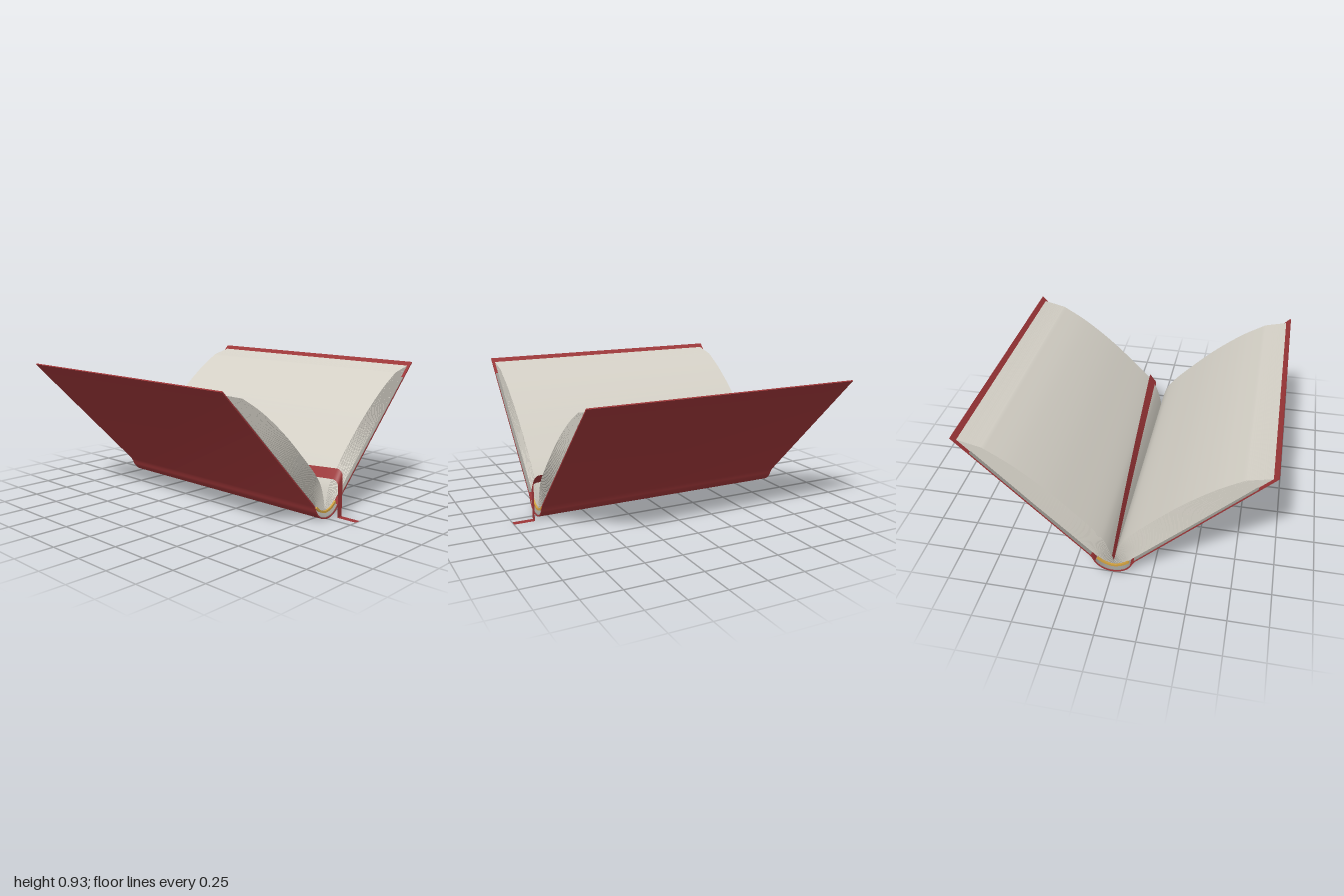
import * as THREE from 'three';
import { toCreasedNormals } from 'three/addons/utils/BufferGeometryUtils.js';

const mat = (name, color) => {
  const m = new THREE.MeshStandardMaterial({ color, side: THREE.DoubleSide });
  m.name = name;
  return m;
};
const V = (x, y) => new THREE.Vector2(x, y);
const mirror = (pts, s) => pts.map((p) => V(p.x * s, p.y));

// Prism along z from a closed cross-section
function prism(name, outline, z0, z1, material, crease = 0.6) {
  let g = new THREE.ExtrudeGeometry(new THREE.Shape(outline), { depth: z1 - z0, bevelEnabled: false });
  g.translate(0, 0, z0);
  g = toCreasedNormals(g, crease);
  const mesh = new THREE.Mesh(g, material);
  mesh.name = name;
  return mesh;
}

// Outline of a polyline thickened to its left side
function thicken(pts, t) {
  const inner = pts.map((p, i) => {
    const a = pts[Math.max(0, i - 1)], b = pts[Math.min(pts.length - 1, i + 1)];
    const d = b.clone().sub(a).normalize();
    return V(p.x - d.y * t, p.y + d.x * t);
  });
  return [...pts, ...inner.reverse()];
}

const spline = (pts, n) => new THREE.SplineCurve(pts).getPoints(n);

// Profiles of the uppermost and lowest leaf, gutter to fore edge
const TOP = [[0, 0.06], [0.018, 0.14], [0.045, 0.22], [0.09, 0.29], [0.2, 0.41], [0.4, 0.605], [0.6, 0.765], [0.77, 0.87]];
const LOW = [[0.1, 0.095], [0.13, 0.123], [0.18, 0.171], [0.24, 0.23], [0.36, 0.349], [0.55, 0.538], [0.74, 0.727], [0.92, 0.906]];

function leafCurve(t) {
  return spline(TOP.map((p, i) => V(
    THREE.MathUtils.lerp(p[0], LOW[i][0], t),
    THREE.MathUtils.lerp(p[1], LOW[i][1], t) - (i === 0 ? 0.05 * t * (1 - t) : 0),
  )), 40);
}

// Height of the top leaf at x
const topPts = leafCurve(0);
function pageHeight(x) {
  for (let i = 1; i < topPts.length; i++) {
    const a = topPts[i - 1], b = topPts[i];
    if (x <= b.x) return THREE.MathUtils.lerp(a.y, b.y, Math.max(0, (x - a.x) / (b.x - a.x)));
  }
  return topPts[topPts.length - 1].y;
}

export function createModel() {
  const red = mat('red cloth', 0x9c3537);
  const paper = mat('paper', 0xd4d0c6);
  const lining = mat('grey lining', 0x98968f);
  const gold = mat('gold thread', 0xd0a040);
  const book = new THREE.Group();
  book.name = 'openBook';

  // Cover: two boards joined by a rounded spine
  const arc = [];
  for (let i = -12; i <= 12; i++) {
    const a = (i / 12) * 1.25;
    arc.push(V(0.125 * Math.sin(a) / Math.sin(1.25), 0.002 + 0.083 * (1 - Math.cos(a)) / (1 - Math.cos(1.25))));
  }
  const coverLine = [V(-0.95, 0.926), V(-0.14, 0.112), ...arc, V(0.14, 0.112), V(0.95, 0.926)];
  book.add(prism('cover', thicken(coverLine, 0.008), -1, 0.82, red));

  // Lining inside the spine
  book.add(prism('spineLining', thicken(arc.slice(2, -2).map((p) => V(p.x, p.y + 0.009)), 0.004), -0.995, 0.815, lining));

  const N = 26;
  for (const s of [1, -1]) {
    const side = new THREE.Group();
    side.name = s > 0 ? 'leftHalf' : 'rightHalf';

    // Endpaper on the board
    const board = [V(0.14, 0.121), V(0.845, 0.83)];
    side.add(prism('endpaper', mirror(thicken(board, 0.006), s), -0.998, 0.818, lining));

    // Leaves, packed at the fore edge and fanned towards the gutter
    for (let i = 0; i < N; i++) {
      const upper = leafCurve(i / N), next = leafCurve((i + 1) / N);
      const lower = upper.map((p, k) => {
        const u = k / 40;
        return p.clone().lerp(next[k], 0.3 + 0.68 * THREE.MathUtils.smoothstep(u, 0.45, 0.85));
      });
      side.add(prism('leaf', mirror([...upper, ...lower.reverse()], s), -0.98, 0.8, paper));
    }
    book.add(side);
  }

  // Headbands at both ends of the spine
  const band = spline([V(-0.105, 0.088), V(-0.06, 0.056), V(0, 0.04), V(0.06, 0.056), V(0.105, 0.088)], 16);
  for (const z of [-0.992, 0.8]) book.add(prism('headband', thicken(band, 0.014), z, z + 0.012, gold));

  // Ribbon: along the gutter, over the page ends, down and forward
  const rows = [];
  for (let i = 0; i <= 24; i++) {
    const t = i / 24, xl = 0.055 * t, xr = 0.008 + 0.092 * t;
    rows.push([xl - 0.004 * (1 - t), pageHeight(xl) + 0.012, xr, pageHeight(xr) + 0.012, -0.97 + 1.785 * t]);
  }
  for (let i = 1; i <= 5; i++) {
    const a = (i / 5) * Math.PI / 2, drop = 0.045 * (1 - Math.cos(a));
    rows.push([0.055, pageHeight(0.055) + 0.012 - drop, 0.1, pageHeight(0.1) + 0.012 - drop, 0.815 + 0.045 * Math.sin(a)]);
  }
  rows.push([0.055, 0.004, 0.1, 0.004, 0.86], [0.055, 0.004, 0.1, 0.004, 1]);
  const pos = [], index = [];
  rows.forEach(([xl, yl, xr, yr, z], i) => {
    pos.push(xl, yl, z, xr, yr, z);
    if (i) {
      const a = 2 * i - 2;
      index.push(a, a + 2, a + 1, a + 1, a + 2, a + 3);
    }
  });
  const g = new THREE.BufferGeometry();
  g.setAttribute('position', new THREE.Float32BufferAttribute(pos, 3));
  g.setIndex(index);
  const ribbon = new THREE.Mesh(toCreasedNormals(g, 0.6), red);
  ribbon.name = 'ribbon';
  book.add(ribbon);

  return book;
}
